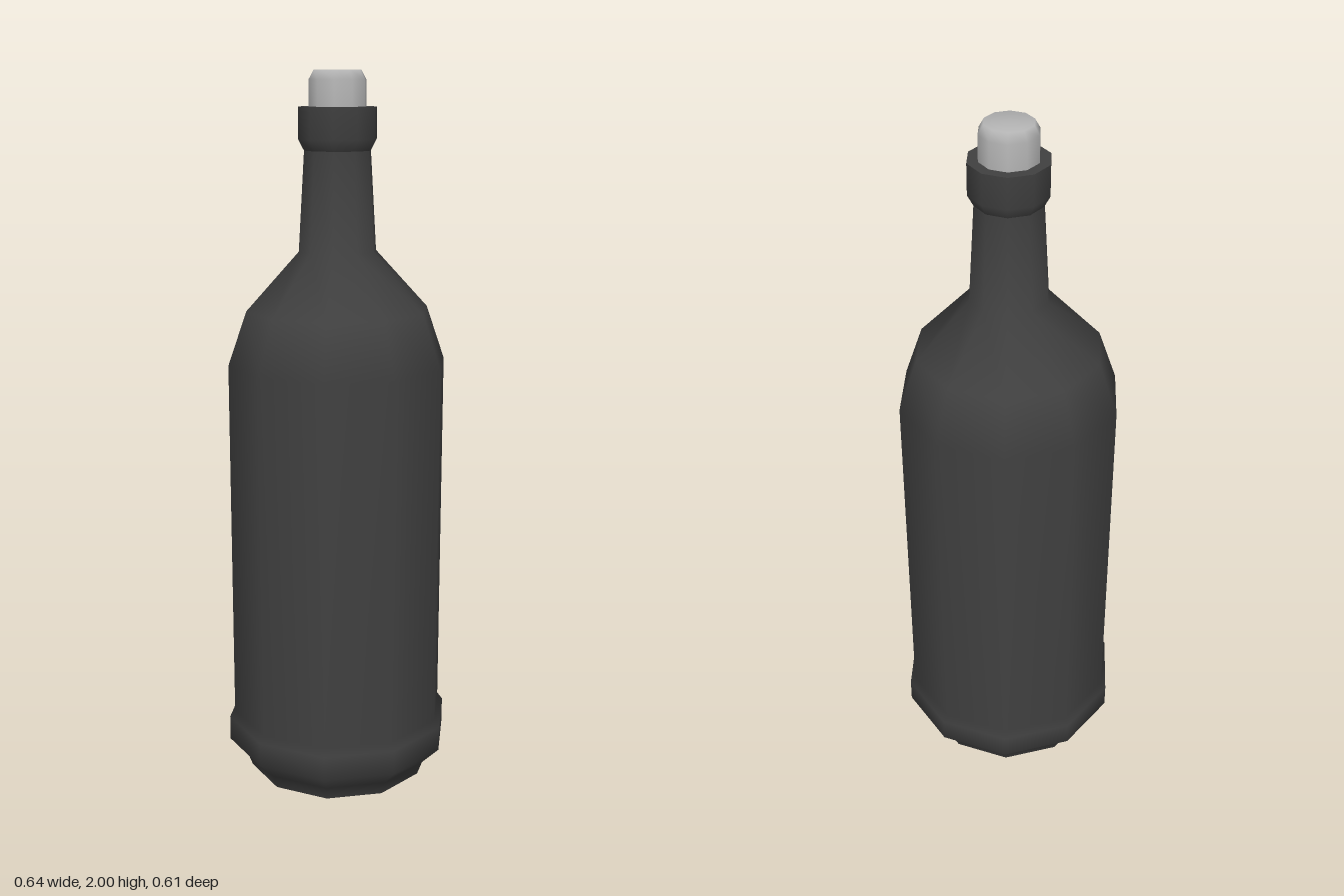
import * as THREE from 'three';

const SIDES = 10;

// Ten-sided turned part from [radius, height] points, bottom to top
function turned(name, points, material) {
  const profile = points.map(([r, y]) => new THREE.Vector2(r, y));
  const mesh = new THREE.Mesh(new THREE.LatheGeometry(profile, SIDES, Math.PI / 2), material);
  mesh.name = name;
  return mesh;
}

export function createModel() {
  const glass = new THREE.MeshStandardMaterial({ color: 0x404040 });
  glass.name = 'darkGlass';
  const cork = new THREE.MeshStandardMaterial({ color: 0xb4b4b4 });
  cork.name = 'paleStopper';

  const model = new THREE.Group();
  model.name = 'bottle';

  model.add(
    // flat underside
    turned('base', [[0, 0], [0.257, 0]], glass),
    // foot, heel ring, body, shoulder and tapered neck
    turned('body', [
      [0.257, 0], [0.272, 0.04], [0.322, 0.09], [0.322, 0.16], [0.307, 0.18],
      [0.307, 1.21], [0.255, 1.36], [0.108, 1.52], [0.092, 1.79],
    ], glass),
    // mouth ring with its flat top
    turned('lip', [[0.092, 1.79], [0.108, 1.82], [0.108, 1.905]], glass),
    turned('lipTop', [[0.108, 1.905], [0.07, 1.905]], glass),
    // stopper with bevelled crown
    turned('stopper', [[0.079, 1.89], [0.079, 1.975], [0.065, 2], [0, 2]], cork),
  );
  return model;
}
